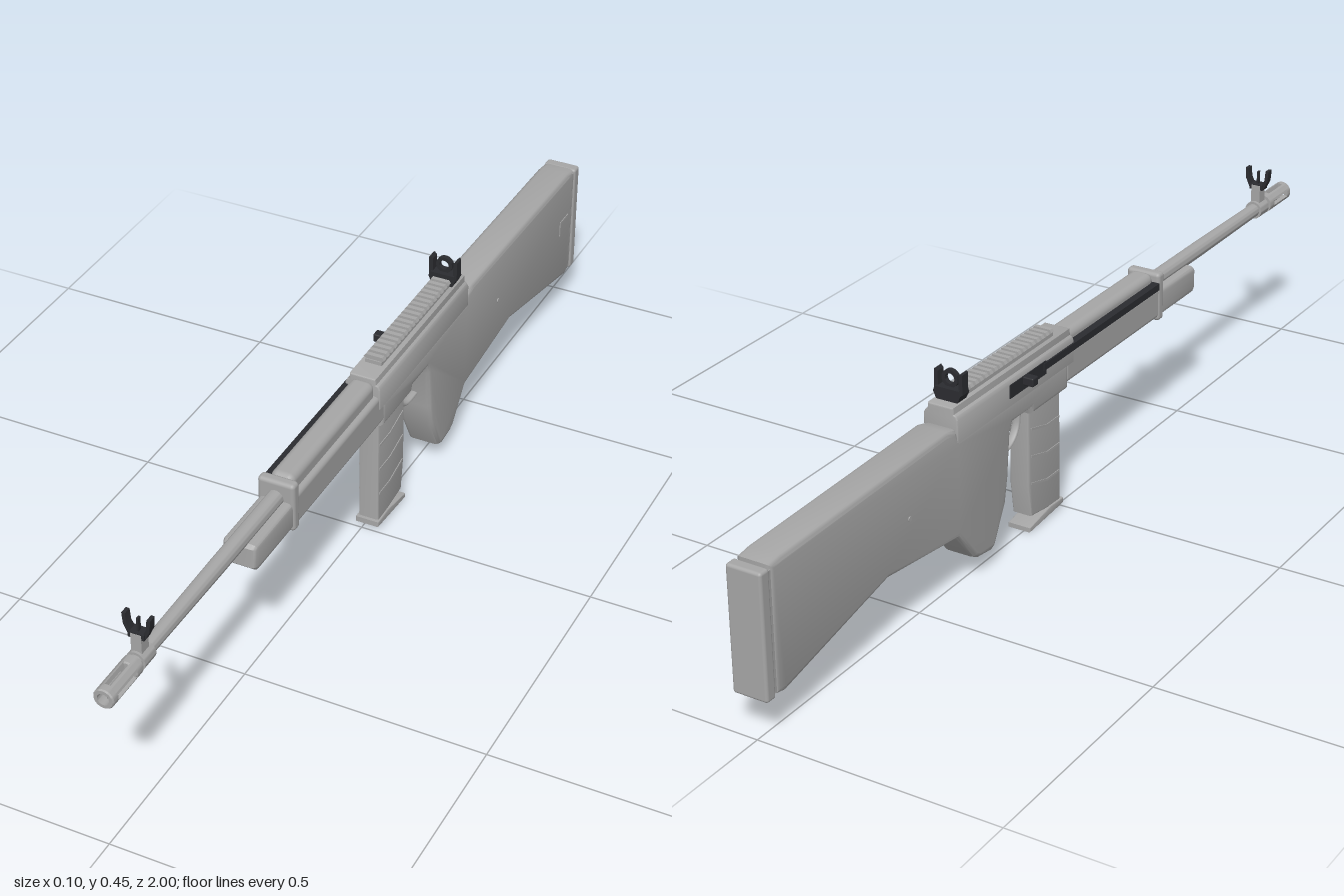
import * as THREE from 'three';
import { toCreasedNormals, mergeGeometries } from 'three/addons/utils/BufferGeometryUtils.js';
import { RoundedBoxGeometry } from 'three/addons/geometries/RoundedBoxGeometry.js';

export function createModel() {
  const grey = new THREE.MeshStandardMaterial({ color: 0xa6a6a6 });
  grey.name = 'grey';
  const black = new THREE.MeshStandardMaterial({ color: 0x2b2c30 });
  black.name = 'black';

  const model = new THREE.Group();
  model.name = 'rifle';
  const body = new THREE.Group();
  body.name = 'body';
  body.position.x = 0.0105;
  model.add(body);

  const add = (name, geo, mat = grey, parent = body) => {
    const mesh = new THREE.Mesh(geo, mat);
    mesh.name = name;
    parent.add(mesh);
    return mesh;
  };
  const shapeOf = pts => new THREE.Shape(pts.map(p => new THREE.Vector2(...p)));
  const extrude = (shape, depth, bevel) => toCreasedNormals(new THREE.ExtrudeGeometry(shape, {
    depth: depth - 2 * bevel, bevelEnabled: bevel > 0, bevelThickness: bevel, bevelSize: bevel,
    bevelOffset: -bevel, bevelSegments: 3, curveSegments: 16,
  }).translate(0, 0, bevel - depth / 2), 0.6);
  // Side outline of [z, y] points, extruded across x
  const side = (pts, width, bevel = 0) => extrude(shapeOf(pts), width, bevel).rotateY(-Math.PI / 2);
  // Cross-section of [x, y] points, extruded from z0 to z1
  const along = (pts, z0, z1, bevel = 0) => extrude(shapeOf(pts), z1 - z0, bevel).translate(0, 0, (z0 + z1) / 2);
  const box = (x0, x1, y0, y1, z0, z1) => new THREE.BoxGeometry(x1 - x0, y1 - y0, z1 - z0)
    .translate((x0 + x1) / 2, (y0 + y1) / 2, (z0 + z1) / 2);
  const rounded = (w, y0, y1, z0, z1, r) => new RoundedBoxGeometry(w, y1 - y0, z1 - z0, 3, r)
    .translate(0, (y0 + y1) / 2, (z0 + z1) / 2);
  const axis = 0.342;
  // Turned part around the bore from [radius, z] points
  const turned = pts => toCreasedNormals(new THREE.LatheGeometry(pts.map(p => new THREE.Vector2(...p)), 32)
    .rotateX(Math.PI / 2).translate(0, axis, 0), 0.5);

  // Stock, grip and lower receiver in one outline
  add('stock', side([
    [0, 0.325], [0, 0.265], [-0.135, 0.265], [-0.14, 0.278], [-0.205, 0.278], [-0.213, 0.26],
    [-0.222, 0.17], [-0.232, 0.118], [-0.272, 0.042], [-0.285, 0.036], [-0.33, 0.042], [-0.345, 0.05],
    [-0.4, 0.117], [-0.63, 0.144], [-0.945, 0.077], [-0.972, 0.083], [-0.972, 0.338],
    [-0.94, 0.343], [-0.43, 0.353], [-0.4, 0.345], [-0.39, 0.325],
  ], 0.073, 0.011));
  add('buttPlate', rounded(0.075, 0.08, 0.335, -1, -0.974, 0.006));
  add('buttSpacer', box(-0.034, 0.034, 0.088, 0.328, -0.978, -0.968));
  for (const s of [-1, 1])
    add('stockPin', new THREE.CylinderGeometry(0.005, 0.005, 0.004, 16).rotateZ(Math.PI / 2)
      .translate(s * 0.0365, 0.235, -0.56));
  add('stockLatch', box(0.034, 0.038, 0.235, 0.24, -0.945, -0.9));
  add('stockLatchStep', box(0.034, 0.038, 0.205, 0.24, -0.905, -0.9));

  // Upper receiver with sloped shoulders
  const half = [[0.0375, 0.318], [0.0375, 0.364], [0.034, 0.371], [0.029, 0.374], [0.028, 0.387]];
  const mirrored = half.map(([x, y]) => [-x, y]).reverse();
  add('receiver', along([...half, ...mirrored], -0.4, 0.018, 0.003));

  // Toothed top rail
  add('railBase', box(-0.018, 0.018, 0.384, 0.395, -0.37, -0.03));
  const teeth = [];
  for (let i = 0; i < 20; i++)
    teeth.push(along([[-0.016, 0.394], [0.016, 0.394], [0.022, 0.398], [0.018, 0.404],
      [-0.018, 0.404], [-0.022, 0.398]], -0.042 - i * 0.0168, -0.0325 - i * 0.0168));
  add('railTeeth', mergeGeometries(teeth));

  // Forearm
  add('handguard', rounded(0.072, 0.278, 0.348, -0.01, 0.375, 0.01));
  add('foreEnd', side([[0.37, 0.278], [0.515, 0.278], [0.525, 0.288], [0.525, 0.33],
    [0.518, 0.337], [0.37, 0.337]], 0.07, 0.01));
  add('upperHandguard', rounded(0.05, 0.33, 0.379, 0.01, 0.36, 0.015));
  add('barrelBand', rounded(0.077, 0.272, 0.378, 0.357, 0.381, 0.008));
  add('slingRing', new THREE.TorusGeometry(0.013, 0.003, 8, 24).rotateY(Math.PI / 2)
    .translate(0, 0.272, 0.43));

  // Barrel and slotted muzzle
  add('barrel', turned([[0, 0.3], [0.0165, 0.3], [0.0165, 0.6], [0.0145, 0.85], [0.0145, 0.91], [0, 0.91]]));
  const ring = (z0, z1) => turned([[0.012, z0], [0.0205, z0], [0.0205, z1 - 0.003], [0.0185, z1],
    [0.012, z1], [0.012, z0]]);
  add('muzzleCollar', ring(0.9, 0.922));
  add('muzzleRing', ring(0.983, 1));
  for (let i = 0; i < 4; i++) {
    const a = Math.PI / 4 + i * Math.PI / 2, w = 0.5;
    const bar = new THREE.Shape();
    bar.absarc(0, 0, 0.0205, a - w, a + w, false);
    bar.absarc(0, 0, 0.012, a + w, a - w, true);
    add('muzzleBar', extrude(bar, 0.068, 0).translate(0, axis, 0.952));
  }

  // Front sight: collar, post block, splayed ears and blade
  add('frontSightCollar', turned([[0.014, 0.855], [0.0195, 0.855], [0.0195, 0.892], [0.014, 0.892]]));
  add('frontSightBlock', box(-0.0105, 0.0105, 0.352, 0.398, 0.863, 0.887));
  add('frontSightBase', box(-0.016, 0.016, 0.388, 0.4, 0.864, 0.886), black);
  for (const s of [-1, 1]) {
    const ear = [[0.008, 0.39], [0.016, 0.388], [0.026, 0.41], [0.028, 0.434], [0.021, 0.434], [0.019, 0.412]];
    const pts = ear.map(([x, y]) => [s * x, y]);
    add('frontSightEar', along(pts, 0.867, 0.883), black);
  }
  add('frontSightBlade', box(-0.002, 0.002, 0.395, 0.428, 0.871, 0.879), black);

  // Rear sight: clamp, ears and aperture
  add('rearSightBase', along([[-0.02, 0.38], [0.02, 0.38], [0.03, 0.402], [0.026, 0.412],
    [-0.026, 0.412], [-0.03, 0.402]], -0.378, -0.347), black);
  for (const s of [-1, 1]) {
    const ear = [[0.022, 0.398], [0.031, 0.402], [0.031, 0.443], [0.028, 0.446], [0.023, 0.44]];
    add('rearSightEar', along(ear.map(([x, y]) => [s * x, y]), -0.372, -0.352), black);
  }
  const aperture = new THREE.Shape().absarc(0, 0, 0.018, 0, Math.PI * 2);
  aperture.holes.push(new THREE.Path().absarc(0, 0, 0.0105, 0, Math.PI * 2, true));
  add('rearAperture', extrude(aperture, 0.01, 0).translate(0, 0.428, -0.362), black);

  // Charging handle with its slot and operating rod
  add('boltSlot', box(-0.0395, -0.034, 0.335, 0.363, -0.22, -0.09), black);
  add('operatingRod', box(-0.041, -0.022, 0.345, 0.36, -0.1, 0.355), black);
  add('chargingHandle', new RoundedBoxGeometry(0.028, 0.018, 0.02, 3, 0.003)
    .translate(-0.048, 0.354, -0.165), black);

  // Magazine with raised ribs and sloping floor plate
  add('magazine', side([[-0.01, 0.28], [-0.01, 0.015], [-0.118, 0.03], [-0.128, 0.1], [-0.128, 0.28]], 0.044, 0.004));
  for (const y of [0.21, 0.15, 0.09])
    add('magazineRib', side([[-0.014, y], [-0.014, y - 0.005], [-0.06, y - 0.005], [-0.12, y + 0.011],
      [-0.12, y + 0.016], [-0.06, y]], 0.047));
  add('magazineFloor', side([[-0.003, 0.022], [-0.003, 0.01], [-0.13, 0], [-0.13, 0.01], [-0.05, 0.024]], 0.051, 0.002));

  // Trigger and guard
  const guardPath = new THREE.CatmullRomCurve3([[0.272, -0.134], [0.235, -0.139], [0.212, -0.155],
    [0.2, -0.178], [0.199, -0.225]].map(([y, z]) => new THREE.Vector3(0, y, z)));
  add('triggerGuard', new THREE.TubeGeometry(guardPath, 24, 0.0045, 8).scale(2, 1, 1));
  const triggerPath = new THREE.CatmullRomCurve3([[0.282, -0.188], [0.255, -0.198], [0.235, -0.196],
    [0.222, -0.186]].map(([y, z]) => new THREE.Vector3(0, y, z)));
  add('trigger', new THREE.TubeGeometry(triggerPath, 16, 0.005, 8));

  return model;
}
